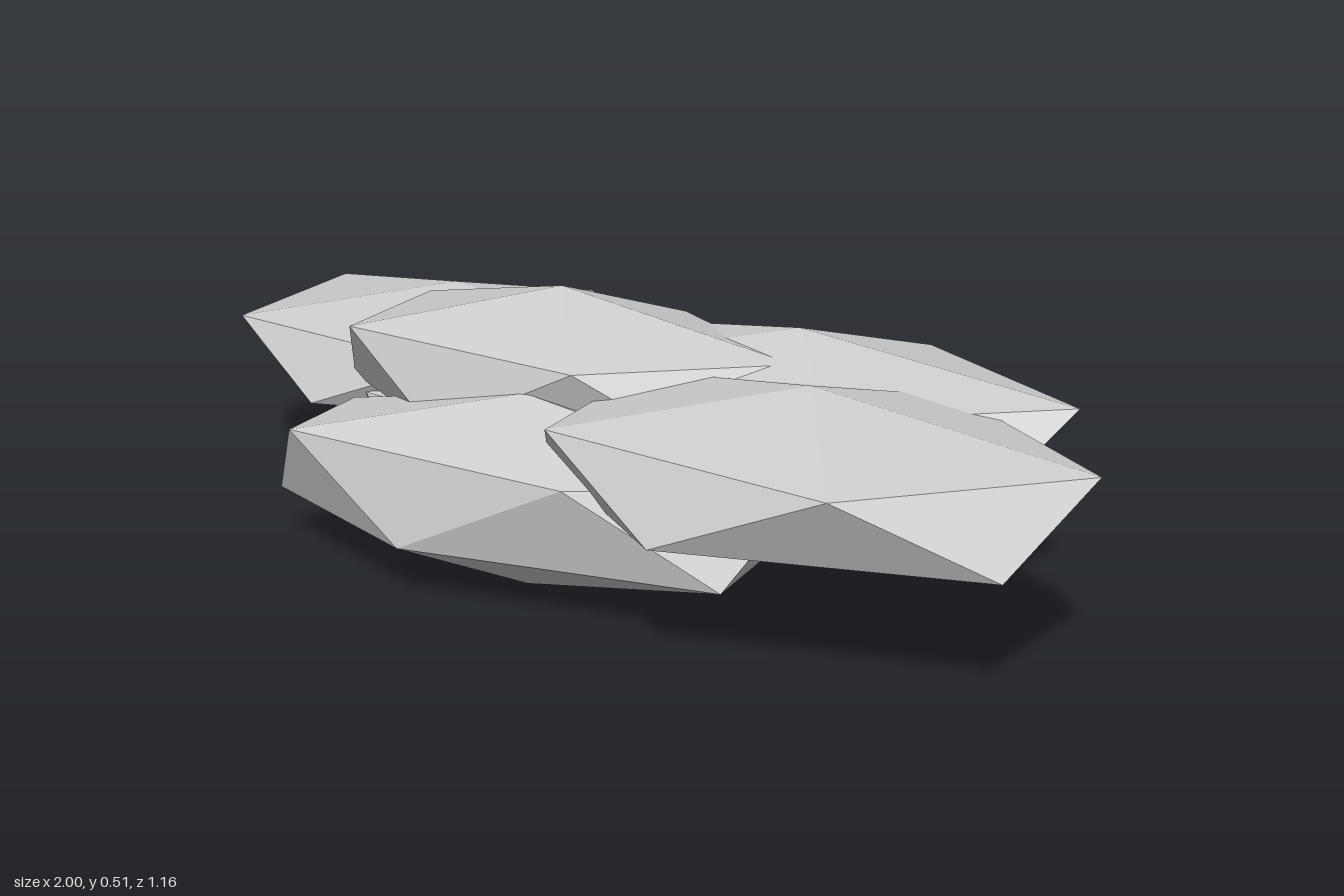
import * as THREE from 'three';

// Cloud-like cluster of flattened low-poly puffs.
// Each entry: name, centre [x, y, z], radii [x, y, z]
const PUFFS = [
  ['crownPuff', [-0.10, 0.349, 0.063], [0.53, 0.165, 0.282]],
  ['leftFrontPuff', [0.49, 0.305, 0.266], [0.57, 0.151, 0.368]],
  ['leftBackPuff', [0.345, 0.32, -0.034], [0.595, 0.144, 0.309]],
  ['rightBackPuff', [-0.5, 0.274, -0.21], [0.559, 0.137, 0.371]],
  ['backPuff', [-0.308, 0.221, -0.31], [0.416, 0.164, 0.315]],
  ['frontPuff', [-0.05, 0.19, 0.30], [0.611, 0.185, 0.211]],
  ['bottomPuff', [-0.206, 0.177, -0.046], [0.44, 0.172, 0.281]],
  ['corePuff', [0.1, 0.212, 0.034], [0.62, 0.132, 0.247]],
];

export function createModel() {
  const group = new THREE.Group();
  group.name = 'cloud';
  const material = new THREE.MeshStandardMaterial({ color: 0xcccccc, flatShading: true });

  // Icosahedron standing on a vertex, one upper ring corner pointing to +x
  const puff = new THREE.IcosahedronGeometry(1, 0);
  puff.rotateX(-Math.atan((1 + Math.sqrt(5)) / 2));
  puff.rotateY(Math.PI / 2);

  for (const [name, centre, radii] of PUFFS) {
    const mesh = new THREE.Mesh(puff, material);
    mesh.name = name;
    mesh.position.set(...centre);
    mesh.scale.set(...radii);
    group.add(mesh);
  }
  return group;
}
